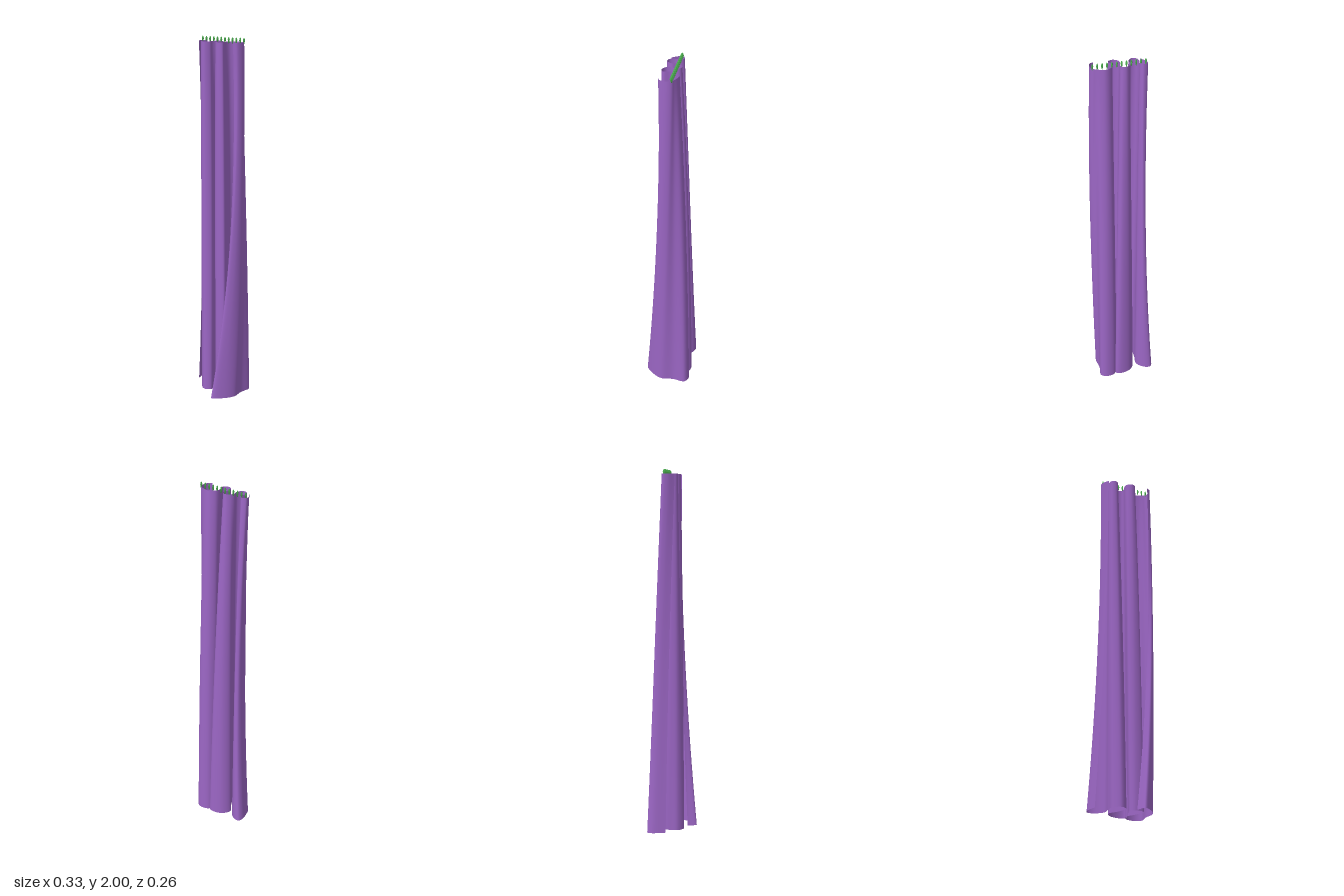
import * as THREE from 'three';

// Plan-view paths of the cloth (x, z pairs), running from the left hem to the free flap.
const bottomPath = [
  -0.155, -0.025, -0.168, -0.1, -0.155, -0.127, -0.12, -0.122, -0.08, -0.08, -0.085, -0.01, -0.083, 0.035,
  -0.045, 0.066, -0.01, 0.045, -0.03, -0.02, -0.06, -0.07, -0.03, -0.115, 0.03, -0.13, 0.055, -0.118,
  0.04, -0.05, 0.015, 0.03, 0.035, 0.053, 0.085, 0.05, 0.07, -0.01, 0.04, -0.07, 0.065, -0.12,
  0.115, -0.13, 0.145, -0.11, 0.138, -0.04, 0.144, 0.03, 0.11, 0.09, 0.057, 0.13, 0.035, 0.08];
const middlePath = [
  -0.115, -0.01, -0.127, -0.06, -0.123, -0.085, -0.105, -0.09, -0.085, -0.055, -0.095, 0, -0.088, 0.032,
  -0.055, 0.05, -0.022, 0.025, -0.035, -0.02, -0.05, -0.06, -0.025, -0.095, 0.018, -0.103, 0.035, -0.085,
  0.022, -0.03, 0.008, 0.03, 0.035, 0.05, 0.075, 0.04, 0.062, -0.01, 0.045, -0.06, 0.065, -0.095,
  0.1, -0.105, 0.132, -0.09, 0.145, -0.045, 0.164, -0.01, 0.16, 0.03, 0.14, 0.052, 0.122, 0.04];
const topPath = [
  -0.11, 0.02, -0.133, -0.015, -0.135, -0.04, -0.11, -0.048, -0.095, -0.03, -0.1, 0, -0.09, 0.027,
  -0.065, 0.032, -0.045, 0.005, -0.05, -0.02, -0.04, -0.042, -0.02, -0.055, 0, -0.05, 0.008, -0.035,
  0, 0, 0.005, 0.025, 0.03, 0.04, 0.055, 0.028, 0.045, -0.01, 0.05, -0.04, 0.07, -0.057,
  0.09, -0.062, 0.115, -0.055, 0.135, -0.045, 0.15, -0.035, 0.158, -0.01, 0.15, 0.025, 0.13, 0.037];

function pathCurve(pairs) {
  const points = [];
  for (let i = 0; i < pairs.length; i += 2) points.push(new THREE.Vector3(pairs[i], 0, pairs[i + 1]));
  return new THREE.CatmullRomCurve3(points);
}

// Cloth: a plane grid whose rows blend smoothly between the three paths.
function clothGeometry() {
  const across = 216, up = 40;
  const curves = [bottomPath, middlePath, topPath].map(pathCurve);
  const geometry = new THREE.PlaneGeometry(1, 1, across, up);
  const position = geometry.attributes.position;
  for (let i = 0; i <= across; i++) {
    const u = i / across;
    const [a, b, c] = curves.map((curve) => curve.getPoint(u));
    const hem = 0.018 * (1 - u) ** 2;
    for (let j = 0; j <= up; j++) {
      const t = 1 - j / up;
      // Quadratic blend through all three sections
      const wa = (1 - t) * (1 - 2 * t), wb = 4 * t * (1 - t), wc = t * (2 * t - 1);
      position.setXYZ(j * (across + 1) + i,
        wa * a.x + wb * b.x + wc * c.x,
        THREE.MathUtils.lerp(hem, 1.975, t),
        wa * a.z + wb * b.z + wc * c.z);
    }
  }
  geometry.computeVertexNormals();
  return geometry;
}

export function createModel() {
  const model = new THREE.Group();
  model.name = 'curtain';

  const cloth = new THREE.Mesh(clothGeometry(),
    new THREE.MeshStandardMaterial({ color: 0x9b66c4, side: THREE.DoubleSide }));
  cloth.name = 'cloth';
  model.add(cloth);

  // Row of small pointed hooks along the heading
  const hooks = new THREE.Group();
  hooks.name = 'hooks';
  const hookMaterial = new THREE.MeshStandardMaterial({ color: 0x4caf50, flatShading: true });
  const hookProfile = [[0, 1.965], [0.003, 1.968], [0.006, 1.985], [0.004, 1.995], [0, 2]]
    .map(([r, y]) => new THREE.Vector2(r, y));
  const hookGeometry = new THREE.LatheGeometry(hookProfile, 4);
  hookGeometry.scale(0.9, 1, 1.5);
  for (let i = 0; i < 12; i++) {
    const hook = new THREE.Mesh(hookGeometry, hookMaterial);
    hook.name = 'hook';
    hook.position.set(-0.125 + 0.025 * i, 0, -0.033);
    hooks.add(hook);
  }
  model.add(hooks);
  return model;
}
